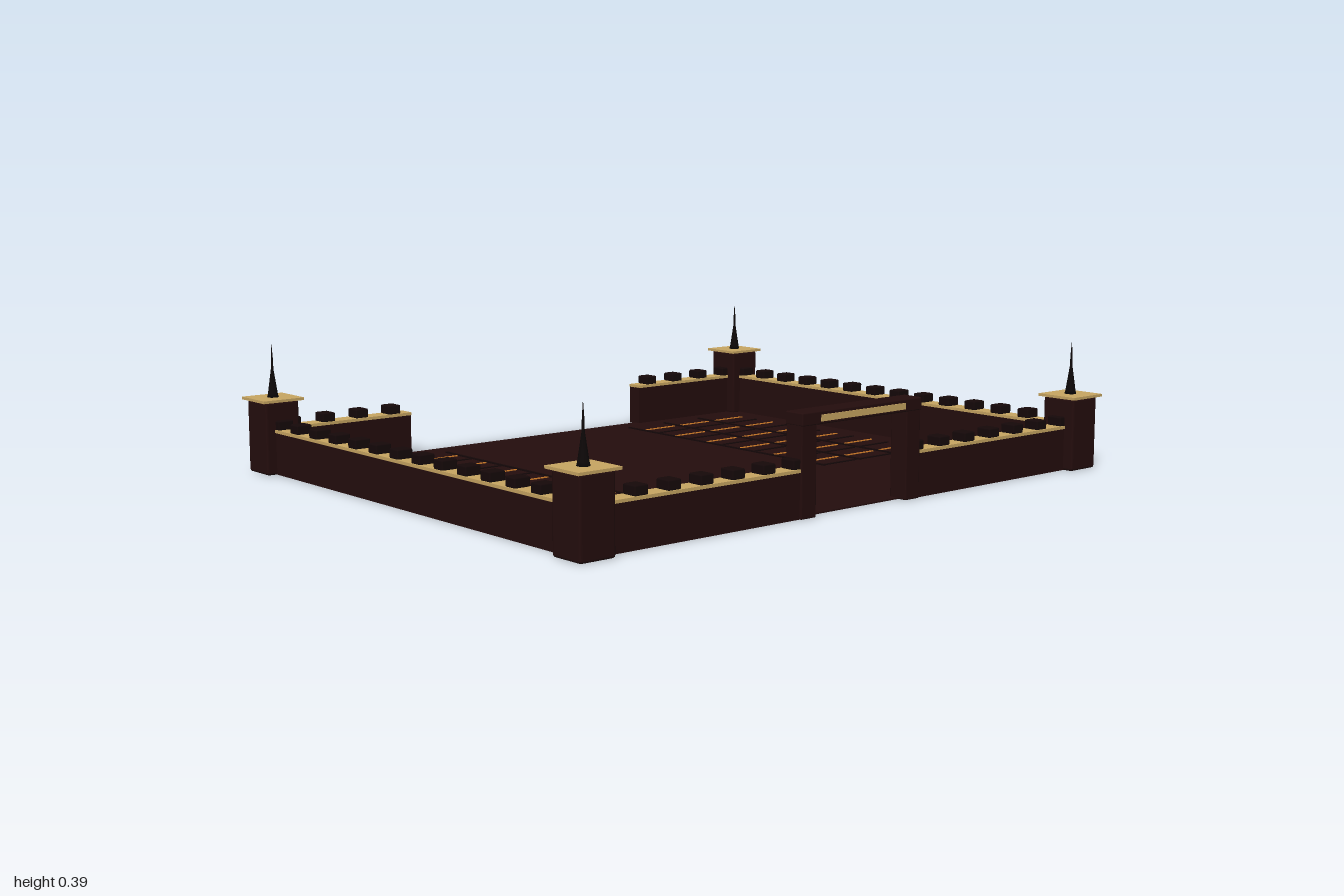
import * as THREE from 'three';
import { RoundedBoxGeometry } from 'three/addons/geometries/RoundedBoxGeometry.js';

const flat = (name, color) => {
  const m = new THREE.MeshStandardMaterial({ color });
  m.name = name;
  return m;
};

export function createModel() {
  const stone = flat('dark red stone', 0x240d0d);
  const shadow = flat('near black stone', 0x150809);
  const iron = flat('black iron', 0x0d0808);
  const gold = flat('pale gold', 0xc8a662);
  const amber = flat('amber', 0xd9822b);

  const model = new THREE.Group();
  model.name = 'walledCourtyard';
  const X = 0.933, Z = 0.753; // centre lines of the walls

  const add = (parent, name, geometry, material, x, y, z) => {
    const mesh = new THREE.Mesh(geometry, material);
    mesh.name = name;
    mesh.position.set(x, y, z);
    parent.add(mesh);
    return mesh;
  };
  // Boxes are placed by their base height
  const box = (parent, name, material, w, h, d, x, y, z) =>
    add(parent, name, new THREE.BoxGeometry(w, h, d), material, x, y + h / 2, z);
  const softBox = (parent, name, material, w, h, d, x, y, z, r) =>
    add(parent, name, new RoundedBoxGeometry(w, h, d, 1, r), material, x, y + h / 2, z);

  box(model, 'floor', stone, 2 * X, 0.004, 2 * Z, 0, 0, 0);

  // Wall running along local x, with coping and evenly spaced merlons
  function wall(name, length, count, x, z, turn = 0) {
    const g = new THREE.Group();
    g.name = name;
    box(g, 'wallBody', stone, length, 0.127, 0.048, 0, 0.001, 0);
    box(g, 'coping', gold, length, 0.009, 0.055, 0, 0.127, 0);
    for (let i = 0; i < count; i++) {
      const mx = ((i + 0.5) / count - 0.5) * length;
      softBox(g, 'merlon', shadow, 0.043, 0.028, 0.049, mx, 0.135, 0, 0.004);
    }
    g.position.set(x, 0, z);
    g.rotation.y = turn;
    model.add(g);
  }
  const frontEnd = 0.178, backEnd = 0.465;
  for (const s of [-1, 1]) {
    const side = s < 0 ? 'right' : 'left';
    wall(side + 'SideWall', 2 * Z, 14, s * X, 0, Math.PI / 2);
    wall(side + 'FrontWall', X - frontEnd, 7, s * (X + frontEnd) / 2, Z);
    wall(side + 'BackWall', X - backEnd, 4, s * (X + backEnd) / 2, -Z);
  }

  // Corner towers with flat gold caps and slender spires
  const spireProfile = [[0, 0], [0.018, 0], [0.015, 0.012], [0.01, 0.045], [0.004, 0.085], [0.003, 0.12], [0, 0.163]]
    .map(([r, y]) => new THREE.Vector2(r, y));
  const spire = new THREE.LatheGeometry(spireProfile, 8);
  for (const sx of [-1, 1]) for (const sz of [-1, 1]) {
    const tower = new THREE.Group();
    tower.name = 'cornerTower';
    softBox(tower, 'towerBody', stone, 0.112, 0.219, 0.112, 0, 0, 0, 0.008);
    box(tower, 'towerCap', gold, 0.134, 0.008, 0.134, 0, 0.218, 0);
    add(tower, 'spire', spire, iron, 0, 0.225, 0);
    tower.position.set(sx * X, 0, sz * Z);
    model.add(tower);
  }

  // Gateway
  const gate = new THREE.Group();
  gate.name = 'gateway';
  for (const s of [-1, 1])
    softBox(gate, 'gatePost', stone, 0.056, 0.27, 0.06, s * 0.202, 0, 0, 0.004);
  softBox(gate, 'lintel', stone, 0.462, 0.036, 0.066, 0, 0.25, 0, 0.004);
  box(gate, 'lintelStrip', gold, 0.325, 0.018, 0.006, 0, 0.258, 0.033);
  gate.position.z = Z;
  model.add(gate);

  // Two mirrored blocks of floor bays: dark dividers and thin amber lines
  const pitch = 0.157, firstZ = -0.596;
  for (const s of [-1, 1]) {
    const bays = new THREE.Group();
    bays.name = s < 0 ? 'rightBays' : 'leftBays';
    for (let c = 0; c < 3; c++) {
      const inner = 0.373 + c * pitch;
      box(bays, 'bayDivider', shadow, 0.008, 0.005, 0.94, s * inner, 0.003, -0.2);
      for (let r = 0; r < 6; r++) {
        const z = firstZ + r * pitch, x = s * (inner + pitch / 2 - 0.004);
        box(bays, 'bayLine', amber, 0.13, 0.004, 0.005, x, 0.003, z);
        box(bays, 'bayEdge', shadow, 0.135, 0.004, 0.008, x, 0.003, z + 0.072);
      }
    }
    model.add(bays);
  }
  return model;
}
